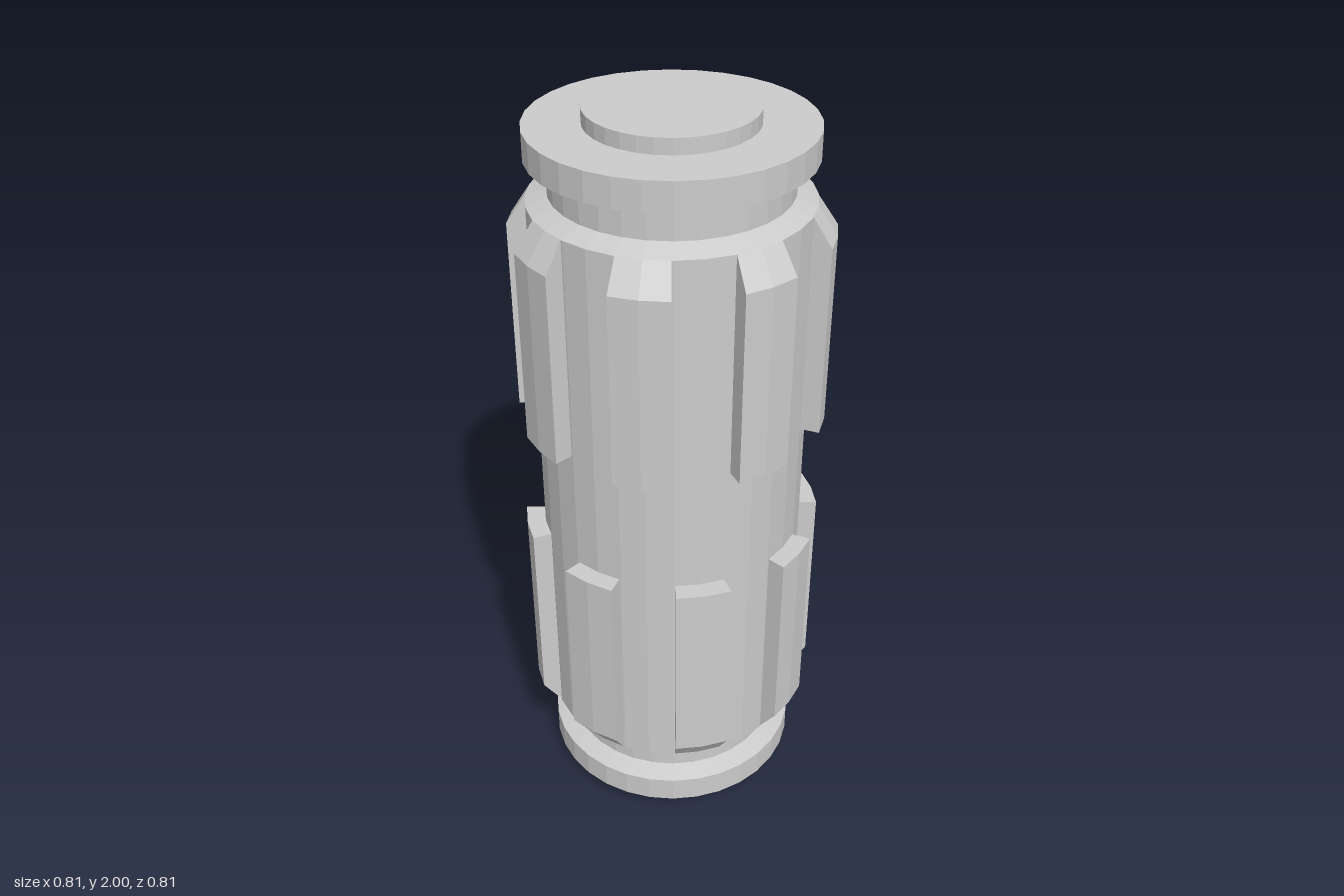
import * as THREE from 'three';
import { mergeGeometries } from 'three/addons/utils/BufferGeometryUtils.js';

const V = (list) => list.map(([r, y]) => new THREE.Vector2(r, y));

// Solid rib: partial lathe of a closed (radius, height) outline, with both sides capped
function ribGeometry(outline) {
  const half = THREE.MathUtils.degToRad(10.4);
  const points = V(outline);
  const parts = [new THREE.LatheGeometry([...points, points[0].clone()], 2, -half, 2 * half)];
  for (const angle of [-half, half]) {
    parts.push(new THREE.ShapeGeometry(new THREE.Shape(points)).rotateY(angle - Math.PI / 2));
  }
  return mergeGeometries(parts);
}

export function createModel() {
  const model = new THREE.Group();
  model.name = 'ribbedCylinder';
  const material = new THREE.MeshStandardMaterial({ color: 0xcccccc, flatShading: true });
  const ribMaterial = material.clone();
  ribMaterial.side = THREE.DoubleSide;

  // Turned core: end discs, flanges, necks and main barrel
  const profile = V([
    [0, 0], [0.212, 0], [0.212, 0.045],
    [0.353, 0.045], [0.353, 0.12], [0.3, 0.135],
    [0.3, 0.207], [0.353, 0.23], [0.353, 1.775], [0.3, 1.796],
    [0.3, 1.87], [0.353, 1.885], [0.353, 1.96],
    [0.212, 1.96], [0.212, 2], [0, 2],
  ]);
  const core = new THREE.Mesh(new THREE.LatheGeometry(profile, 32), material);
  core.name = 'core';
  model.add(core);

  // Two staggered rings of eight ribs, each chamfered toward its neck
  const rings = [
    { name: 'upperRib', offset: Math.PI / 8,
      outline: [[0.34, 1.185], [0.403, 1.185], [0.403, 1.7], [0.353, 1.775], [0.34, 1.775]] },
    { name: 'lowerRib', offset: 0,
      outline: [[0.34, 0.233], [0.353, 0.233], [0.403, 0.305], [0.403, 0.85], [0.34, 0.85]] },
  ];
  for (const { name, offset, outline } of rings) {
    const geometry = ribGeometry(outline);
    const ring = new THREE.Group();
    ring.name = name + 'Ring';
    for (let i = 0; i < 8; i++) {
      const rib = new THREE.Mesh(geometry, ribMaterial);
      rib.name = name;
      rib.rotation.y = offset + (i * Math.PI) / 4;
      ring.add(rib);
    }
    model.add(ring);
  }
  return model;
}
